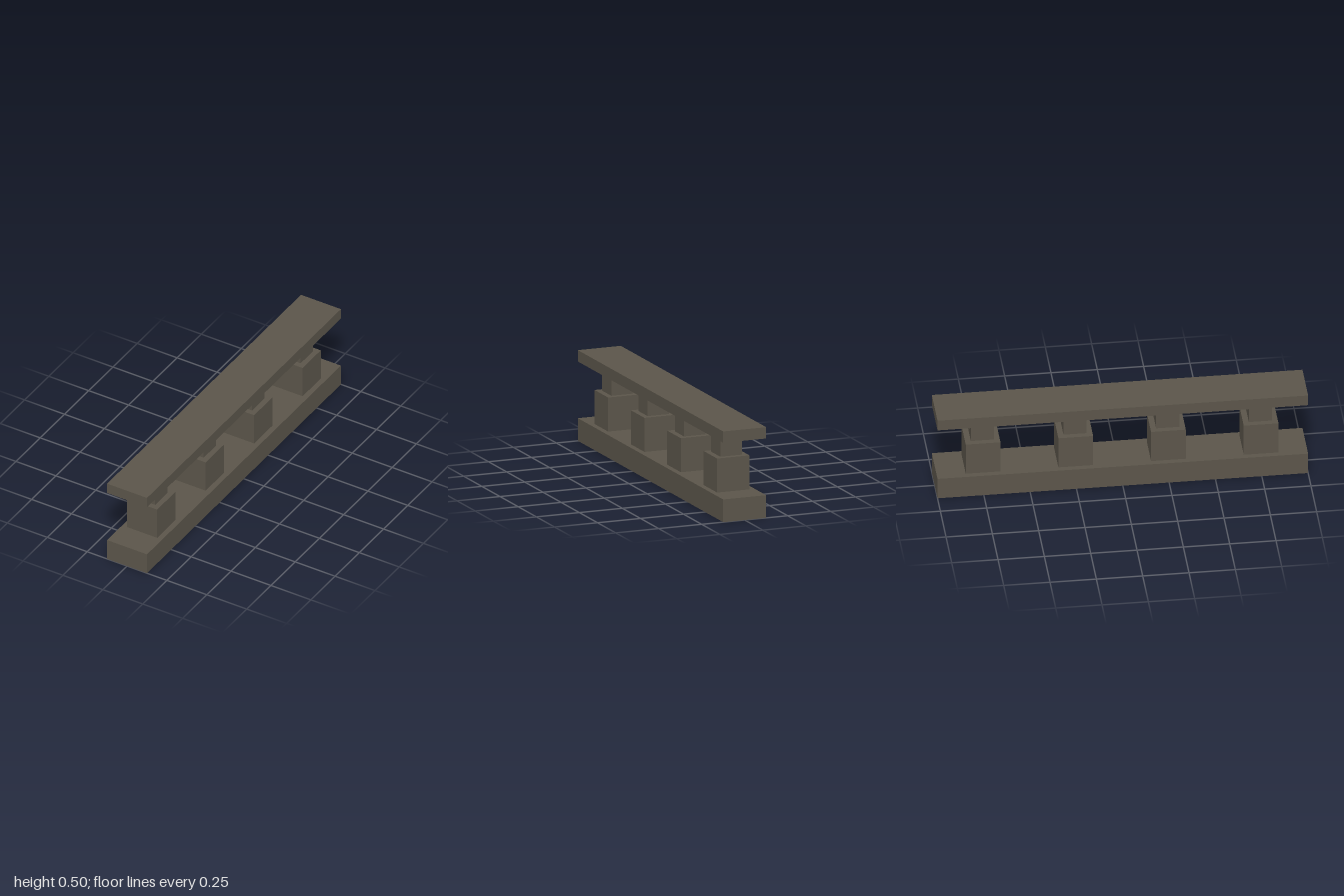
import * as THREE from 'three';

export function createModel() {
  const group = new THREE.Group();
  const stone = new THREE.MeshStandardMaterial({ color: 0x5b554a });
  stone.name = 'dark stone';

  // Box resting on height y, with a square footprint unless depth is given
  function block(name, parent, y, width, height, depth = width) {
    const mesh = new THREE.Mesh(new THREE.BoxGeometry(width, height, depth), stone);
    mesh.name = name;
    mesh.position.y = y + height / 2;
    parent.add(mesh);
  }

  // Long plinth and handrail
  block('base', group, 0, 0.25, 0.125, 2);
  block('topRail', group, 0.4375, 0.25, 0.0625, 2);

  // Four stepped balusters
  for (const z of [-0.75, -0.25, 0.25, 0.75]) {
    const baluster = new THREE.Group();
    baluster.name = 'baluster';
    baluster.position.z = z;
    block('balusterFoot', baluster, 0.125, 0.1875, 0.1875);
    block('balusterNeck', baluster, 0.3125, 0.125, 0.125);
    group.add(baluster);
  }
  return group;
}
